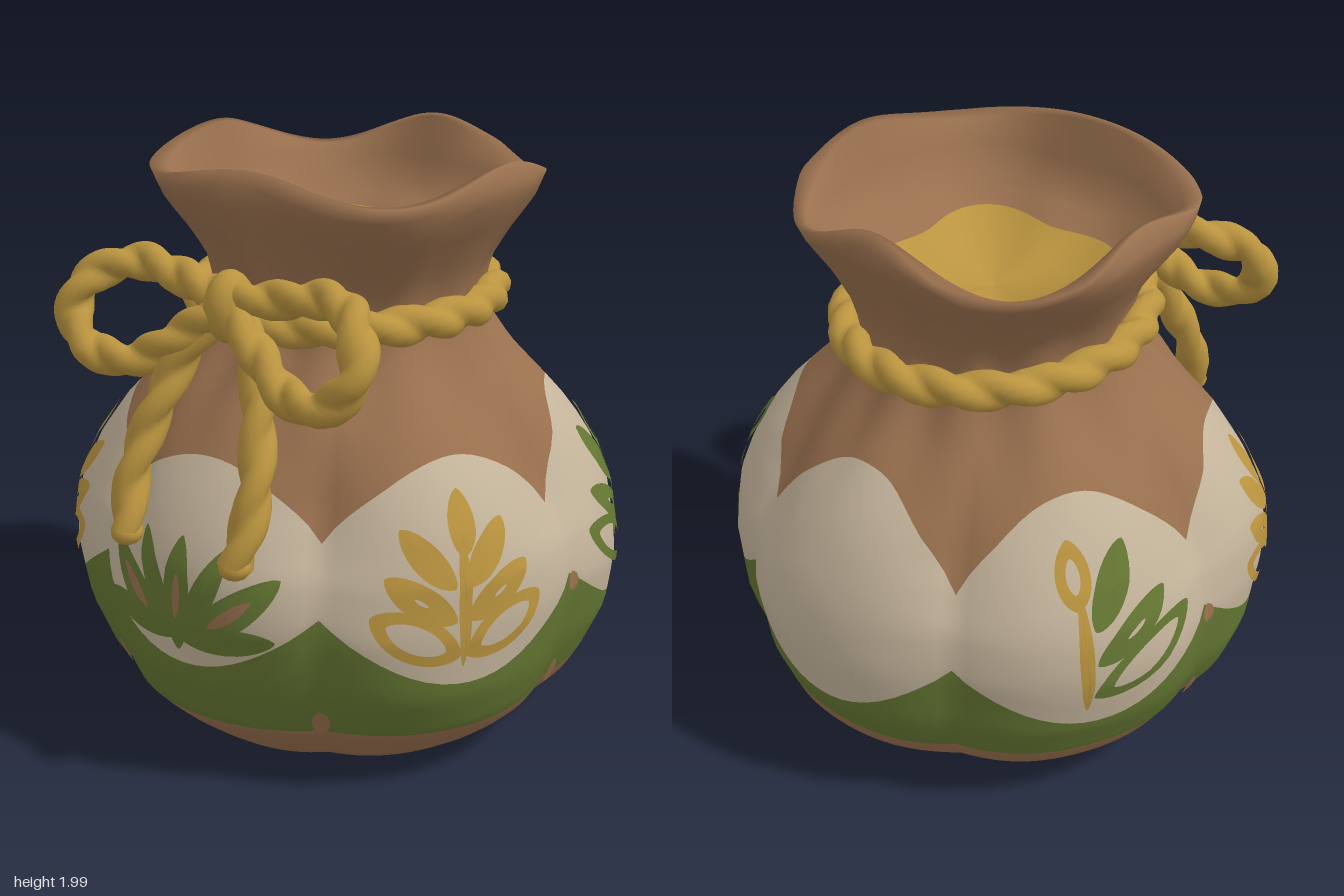
import * as THREE from 'three';
import { mergeVertices } from 'three/addons/utils/BufferGeometryUtils.js';

const { lerp, smoothstep, degToRad } = THREE.MathUtils;
const material = (name, color) => {
  const m = new THREE.MeshStandardMaterial({ color });
  m.name = name;
  return m;
};

// Sack silhouette as [height, radius]
const PROFILE = [
  [0, 0.65], [0.08, 0.755], [0.2, 0.875], [0.38, 0.945], [0.6, 0.97], [0.78, 0.945], [0.92, 0.885],
  [1.05, 0.8], [1.18, 0.68], [1.3, 0.56], [1.4, 0.485], [1.5, 0.455], [1.6, 0.475], [1.72, 0.54],
  [1.83, 0.61], [1.92, 0.645], [2, 0.6],
];
function profile(y) {
  for (let i = 1; i < PROFILE.length; i++) {
    const [y0, r0] = PROFILE[i - 1], [y1, r1] = PROFILE[i];
    if (y <= y1) return lerp(r0, r1, (y - y0) / (y1 - y0));
  }
  return 0.6;
}

// Six padded lobes low down, pinched above, pleats at the neck, a squarish flared mouth
const lobe = (a) => Math.abs(Math.cos(3 * a));
function radius(a, y) {
  const pinch = 0.055 + 0.06 * smoothstep(y, 0.65, 1.0);
  const lobes = pinch * (1 - smoothstep(y, 0.95, 1.4)) * Math.pow(1 - lobe(a), 1.3);
  const flatFront = 0.03 * (1 - smoothstep(y, 0.9, 1.4)) * Math.max(0, Math.cos(a)) ** 4;
  const neck = smoothstep(y, 1.0, 1.35) * (1 - smoothstep(y, 1.5, 1.8));
  const mouth = smoothstep(y, 1.5, 1.85);
  return profile(y) * (1 - lobes - flatFront
    + 0.03 * neck * Math.cos(12 * a + Math.sin(2 * a))
    - mouth * (0.04 * Math.cos(4 * a) + 0.035 * Math.cos(2 * a))
    + 0.01 * mouth * Math.sin(7 * a + 5 * y)
    + 0.006 * Math.sin(5 * a + 9 * y));
}
const greenLow = (a) => 0.235 - 0.025 * Math.cos(a);
const creamLow = (a) => 0.65 + 0.015 * Math.cos(a) - 0.23 * lobe(a);
const creamHigh = (a) => 0.88 + (0.27 - 0.05 * Math.cos(a)) * Math.pow(lobe(a), 0.8);
const rimY = (a) => 1.94 + 0.05 * Math.cos(4 * a) + 0.02 * Math.cos(a) * (1 - Math.cos(4 * a));
const goldEdge = (a) => 0.36 - 0.05 * Math.cos(4 * a);

// The sack is a stack of closed rings, grouped by colour
function sackGeometry() {
  const SEG = 120, rings = [], bands = [];
  const wall = (low, high, n) => {
    for (let k = 1; k <= n; k++) {
      rings.push((a) => {
        const y = lerp(low(a), high(a), k / n);
        return [radius(a, y), y];
      });
    }
  };
  const endBand = (mat) => bands.push([rings.length - 1, mat]);

  rings.push(() => [0, 0], (a) => [radius(a, 0) * 0.6, 0], (a) => [radius(a, 0), 0]);
  wall(() => 0, greenLow, 4);
  endBand(0);
  wall(greenLow, creamLow, 6);
  endBand(1);
  wall(creamLow, creamHigh, 10);
  endBand(2);
  wall(creamHigh, rimY, 18);
  // Inside of the mouth
  rings.push((a) => [radius(a, 1.95) - 0.045, rimY(a) - 0.008]);
  for (const [y, inset] of [[1.83, 0.06], [1.75, 0.07], [1.71, 0.1]]) {
    rings.push((a) => [radius(a, y) - inset, y]);
  }
  rings.push((a) => [goldEdge(a), 1.67]);
  endBand(0);
  rings.push((a) => [goldEdge(a) * 0.6, 1.6], () => [0, 1.57]);
  endBand(3);

  const pos = [], index = [];
  for (const ring of rings) {
    for (let j = 0; j < SEG; j++) {
      const a = (j / SEG) * Math.PI * 2, [r, y] = ring(a);
      // The neck leans back slightly
      pos.push(r * Math.sin(a), y, r * Math.cos(a) - 0.025 * smoothstep(y, 1.2, 1.5));
    }
  }
  const geo = new THREE.BufferGeometry();
  let start = 0, row = 0;
  for (const [last, mat] of bands) {
    for (; row < last; row++) {
      for (let j = 0; j < SEG; j++) {
        const n = (j + 1) % SEG;
        const a = row * SEG + j, b = row * SEG + n, c = a + SEG, d = b + SEG;
        index.push(a, b, d, a, d, c);
      }
    }
    geo.addGroup(start, index.length - start, mat);
    start = index.length;
  }
  geo.setAttribute('position', new THREE.Float32BufferAttribute(pos, 3));
  geo.setIndex(index);
  geo.computeVertexNormals();
  return geo;
}

// Twisted rope: a tube of two strands that spiral along its length
function ropeGeometry(points, r, closed = false) {
  const curve = new THREE.CatmullRomCurve3(points.map((p) => new THREE.Vector3(...p)), closed);
  const length = curve.getLength(), steps = Math.ceil(length * 60), sides = 14;
  const turns = Math.round(length * 2.8);
  const geo = new THREE.TubeGeometry(curve, steps, r, sides, closed);
  const p = geo.attributes.position, n = geo.attributes.normal;
  for (let i = 0; i < p.count; i++) {
    const t = Math.floor(i / (sides + 1)) / steps, a = ((i % (sides + 1)) / sides) * Math.PI * 2;
    const d = r * 0.4 * (Math.abs(Math.cos(a + t * turns * Math.PI * 2)) - 0.65);
    p.setXYZ(i, p.getX(i) + n.getX(i) * d, p.getY(i) + n.getY(i) * d, p.getZ(i) + n.getZ(i) * d);
  }
  geo.deleteAttribute('normal');
  geo.deleteAttribute('uv');
  const out = mergeVertices(geo, 1e-4);
  out.computeVertexNormals();
  return out;
}

// Pointed leaf wrapped on the sack from (u0,v0) to (u1,v1); hole > 0 leaves an outline
function leafGeometry(center, [u0, v0, u1, v1], width, hole, lift) {
  const geo = new THREE.RingGeometry(hole, 1, 28, 3), p = geo.attributes.position;
  const du = u1 - u0, dv = v1 - v0, len = Math.hypot(du, dv);
  for (let i = 0; i < p.count; i++) {
    const along = (p.getX(i) + 1) / 2, s = p.getY(i);
    const across = (s * Math.pow(Math.abs(s), 0.35) * width) / 2;
    const u = u0 + du * along - (dv / len) * across;
    const v = v0 + dv * along + (du / len) * across;
    const a = center + u / 0.95, r = radius(a, v) + lift;
    p.setXYZ(i, r * Math.sin(a), v, r * Math.cos(a));
  }
  geo.computeVertexNormals();
  return geo;
}

export function createModel() {
  const brown = material('brown cloth', 0x99704e);
  const green = material('green', 0x647632);
  const cream = material('cream', 0xc4b49b);
  const gold = material('gold', 0xba943f);
  const model = new THREE.Group();
  model.name = 'pouch';
  const add = (parent, name, geo, mat) => {
    const mesh = new THREE.Mesh(geo, mat);
    mesh.name = name;
    parent.add(mesh);
    return mesh;
  };

  add(model, 'sack', sackGeometry(), [brown, green, cream, gold]);

  // Cord around the neck
  const rope = new THREE.Group();
  rope.name = 'rope';
  model.add(rope);
  const ring = [];
  for (let i = 0; i < 16; i++) {
    const a = (i / 16) * Math.PI * 2;
    ring.push([0.485 * Math.sin(a), 1.485 + 0.012 * Math.cos(a), 0.535 * Math.cos(a) - 0.01]);
  }
  add(rope, 'neckCord', ropeGeometry(ring, 0.06, true), gold);

  // Bow loops, tails and knot
  for (const s of [1, -1]) {
    const side = s > 0 ? 'left' : 'right';
    const loop = [[0.02, 1.6, 0.63], [0.18, 1.62, 0.6], [0.4, 1.65, 0.6], [0.54, 1.59, 0.7],
      [0.565, 1.48, 0.75], [0.48, 1.385, 0.77], [0.32, 1.365, 0.74], [0.15, 1.47, 0.69], [0.02, 1.56, 0.65]];
    const tail = [[0.02, 1.57, 0.64], [0.13, 1.44, 0.67], [0.2, 1.25, 0.75], [0.245, 1.03, 0.84], [0.225, 0.84, 0.91]];
    const flip = (pts) => pts.map(([x, y, z]) => [x * s, y, z]);
    add(rope, side + 'Loop', ropeGeometry(flip(loop), 0.058), gold);
    add(rope, side + 'Tail', ropeGeometry(flip(tail), 0.056), gold);
    const end = add(rope, side + 'TailEnd', new THREE.SphereGeometry(0.054, 12, 8), gold);
    end.position.set(0.225 * s, 0.84, 0.91);
    end.scale.y = 0.8;
  }
  const knot = add(rope, 'knot', new THREE.SphereGeometry(0.1, 14, 10), gold);
  knot.position.set(0, 1.575, 0.63);
  knot.scale.set(0.75, 1.2, 0.95);

  // Leaf sprigs: each leaf is [ends, width, hole, material, fill]
  const sprig = (name, degrees, mirror, leaves) => {
    const group = new THREE.Group();
    group.name = name;
    model.add(group);
    for (const [[u0, v0, u1, v1], width, hole, mat, fill] of leaves) {
      const ends = [u0 * mirror, v0, u1 * mirror, v1], a = degToRad(degrees);
      add(group, 'leaf', leafGeometry(a, ends, width, hole, 0.012), mat);
      if (fill) add(group, 'leafFill', leafGeometry(a, ends, width * 0.6, 0, 0.007), fill);
    }
  };

  const front = [[[0, 0.49, 0, 0.88], 0.11, 0.4, green, brown]];
  for (const s of [1, -1]) {
    front.push([[0.02 * s, 0.53, 0.18 * s, 0.87], 0.09, 0, green]);
    front.push([[0.03 * s, 0.53, 0.37 * s, 0.79], 0.12, 0.45, green, brown]);
    front.push([[0.01 * s, 0.54, 0.36 * s, 0.59], 0.1, 0, green]);
  }
  sprig('frontSprig', 0, 1, front);

  for (const s of [1, -1]) {
    const side = s > 0 ? 'left' : 'right';
    const leaves = [[[0, 0.5, 0.02, 0.94], 0.045, 0, gold], [[0.02, 0.86, 0.04, 1.05], 0.1, 0, gold]];
    for (const m of [1, -1]) {
      leaves.push([[0.02 * m, 0.77, 0.19 * m, 0.95], 0.1, 0, gold]);
      leaves.push([[0.02 * m, 0.66, 0.25 * m, 0.81], 0.11, 0.2, gold]);
      leaves.push([[0.01 * m, 0.54, 0.3 * m, 0.69], 0.16, 0.65, gold]);
    }
    sprig(side + 'GoldSprig', 58 * s, s, leaves);

    const stem = s > 0 ? green : gold;
    sprig(side + 'BackSprig', 123 * s, s, [
      [[0, 0.49, 0.01, 0.92], 0.05, 0, stem],
      [[0.02, 0.87, 0.03, 1.07], 0.13, 0.5, stem],
      [[-0.03, 0.8, -0.19, 1.04], 0.12, 0, green],
      [[-0.03, 0.68, -0.32, 0.86], 0.11, 0.25, green],
      [[-0.02, 0.55, -0.42, 0.76], 0.16, 0.68, green],
    ]);

    // Bare cloth showing in the seams
    sprig(side + 'SeamSpots', 0, s, [30, 90].map((d) => {
      const u = degToRad(d) * 0.95;
      return [[u, 0.21, u, 0.31], 0.07, 0, brown];
    }));
    sprig(side + 'SeamKnot', 90 * s, s, [[[0, 0.59, 0, 0.66], 0.06, 0, brown]]);
  }
  return model;
}
